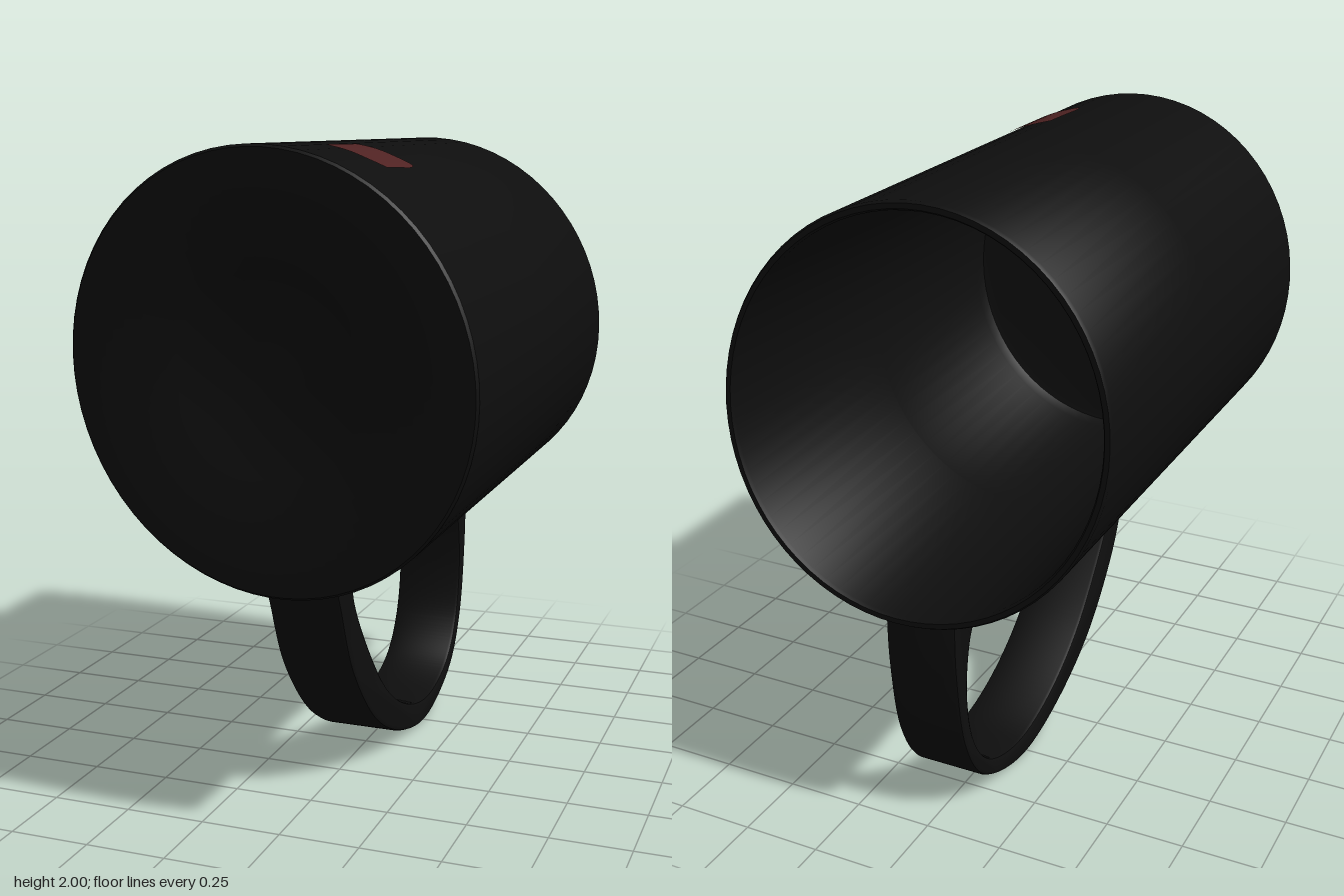
import * as THREE from 'three';
import { toCreasedNormals } from 'three/addons/utils/BufferGeometryUtils.js';

const HALF = 0.825; // half length of the cup along z
const RX = 0.6, RY = 0.624, CY = 1.375;

// Maps the unit cylinder (nx, ny, z) onto the slightly irregular cup
function warp(nx, ny, z) {
  const t = Math.max(0, -z / HALF);
  const rimTilt = t * (0.02 + 0.02 * ny - 0.014 * nx);
  return [RX * nx + 0.01 * z / HALF, CY + RY * ny - 0.035 * nx, z + rimTilt];
}

function warpGeometry(geometry) {
  const p = geometry.attributes.position;
  for (let i = 0; i < p.count; i++) p.setXYZ(i, ...warp(p.getX(i), p.getY(i), p.getZ(i)));
  geometry.computeVertexNormals();
  return geometry;
}

function named(name, geometry, material) {
  const mesh = new THREE.Mesh(geometry, material);
  mesh.name = name;
  return mesh;
}

// Hollow cup lying on its side: inner floor, inner wall, rim, outer wall, base
function cupGeometry() {
  const profile = [
    [0, 0.765], [0.88, 0.765], [0.925, 0.755], [0.95, 0.72], [0.95, 0], [0.955, -0.815],
    [0.965, -HALF], [0.99, -HALF], [1, -0.815], [1, 0], [1, 0.815], [0.988, HALF],
    [0.5, HALF], [0.46, 0.815], [0, 0.815],
  ].map(([r, h]) => new THREE.Vector2(r, h));
  const g = new THREE.LatheGeometry(profile, 72).rotateX(Math.PI / 2);
  return toCreasedNormals(warpGeometry(g), 0.6);
}

// Handle loop drawn in the (z, y) plane and extruded across x
function handleGeometry() {
  const vectors = (list) => list.map(([z, y]) => new THREE.Vector2(z, y));
  const outer = vectors([
    [0.57, 0.66], [0.46, 0.42], [0.25, 0.19], [-0.02, 0.05], [-0.29, 0.005],
    [-0.55, 0.095], [-0.68, 0.28], [-0.73, 0.55], [-0.735, 0.772],
  ]);
  const inner = vectors([
    [-0.58, 0.725], [-0.64, 0.62], [-0.66, 0.44], [-0.615, 0.255], [-0.5, 0.13],
    [-0.295, 0.08], [-0.07, 0.13], [0.14, 0.255], [0.32, 0.45], [0.45, 0.65], [0.45, 0.772],
  ]);
  const shape = new THREE.Shape();
  shape.moveTo(0.625, 0.772);
  shape.splineThru(outer);
  shape.lineTo(-0.52, 0.772);
  shape.splineThru(inner);
  shape.closePath();
  const bevel = 0.012, width = 0.235;
  const g = new THREE.ExtrudeGeometry(shape, {
    depth: width - 2 * bevel, curveSegments: 48, steps: 1,
    bevelEnabled: true, bevelSize: bevel, bevelThickness: bevel, bevelOffset: -bevel, bevelSegments: 2,
  });
  g.translate(0, 0, bevel - width / 2).rotateY(-Math.PI / 2).translate(0.012, 0, 0);
  return toCreasedNormals(g, 0.7);
}

// Thin curved mark with uneven edges, lying just above the cup wall
function markGeometry() {
  const g = new THREE.PlaneGeometry(2, 2, 12, 12);
  const p = g.attributes.position;
  for (let i = 0; i < p.count; i++) {
    const u = p.getX(i), v = p.getY(i);
    const corner = 1 - 0.07 * u ** 4 * v ** 4;
    const x = 0.168 + 0.091 * u * corner + 0.004 * Math.sin(3 * v);
    const z = 0.42 - 0.127 * v * corner + 0.004 * Math.sin(5 * u);
    const nx = (x - 0.005) / RX, lift = 1.006;
    p.setXYZ(i, nx * lift, Math.sqrt(1 - nx * nx) * lift, z);
  }
  return warpGeometry(g);
}

export function createModel() {
  const black = new THREE.MeshStandardMaterial({ color: 0x0e0e0e });
  black.name = 'black glaze';
  const red = new THREE.MeshStandardMaterial({ color: 0x502323 });
  red.name = 'dull red';

  const mug = new THREE.Group();
  mug.name = 'mug';
  mug.add(
    named('cup', cupGeometry(), black),
    named('handle', handleGeometry(), black),
    named('redMark', markGeometry(), red),
  );
  return mug;
}
